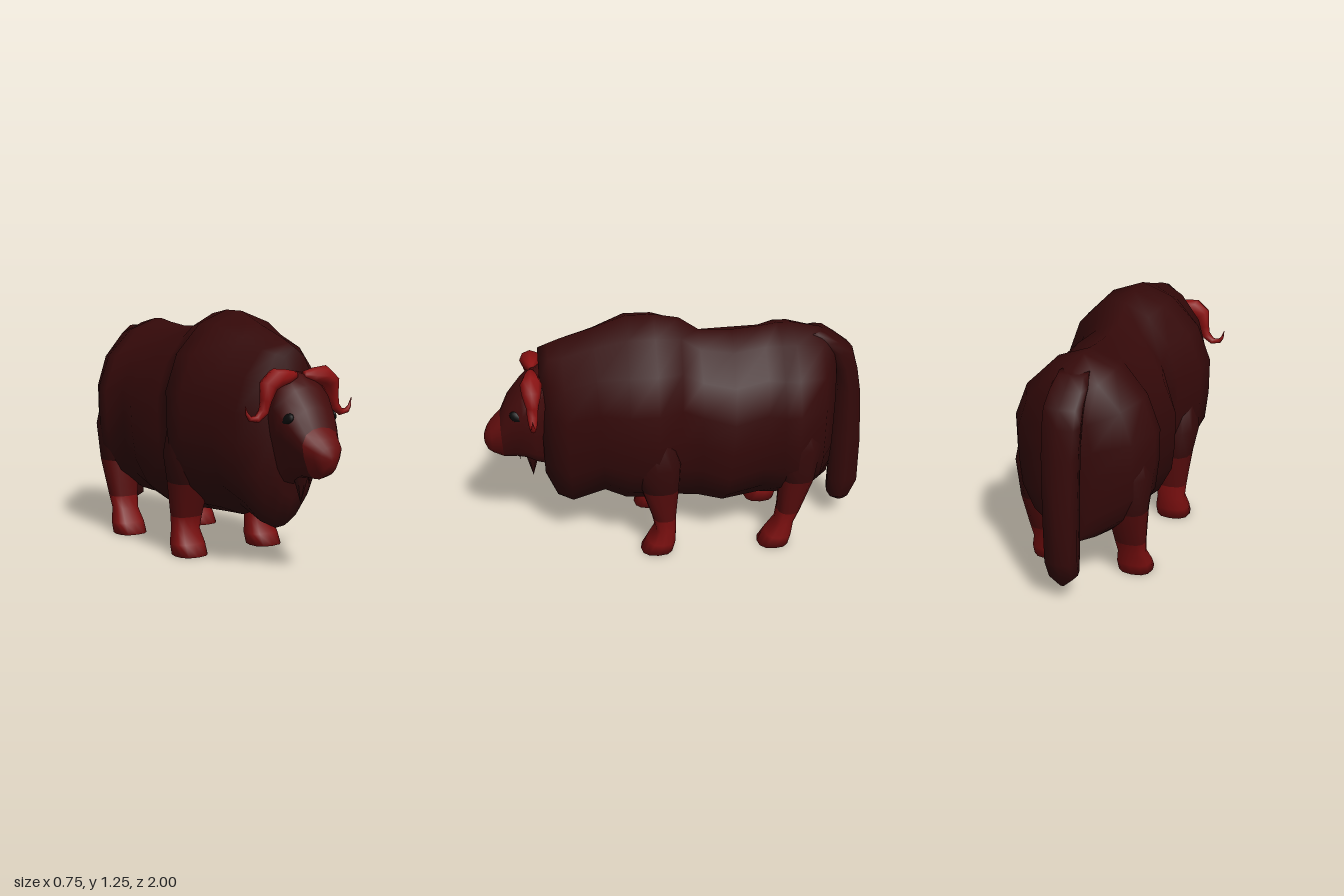
import * as THREE from 'three';

const mat = (color) => new THREE.MeshStandardMaterial({ color });

// Skin a list of equal-length closed rings and close the listed end rings.
function loft(name, rings, material, caps = [0, rings.length - 1]) {
  const n = rings[0].length, pos = [], index = [];
  rings.forEach((r) => r.forEach((p) => pos.push(...p)));
  for (let i = 0; i < rings.length - 1; i++) {
    for (let j = 0; j < n; j++) {
      const a = i * n + j, b = i * n + (j + 1) % n;
      index.push(a, b, a + n, b, b + n, a + n);
    }
  }
  caps.forEach((i) => {
    const centre = pos.length / 3;
    pos.push(...[0, 1, 2].map((k) => rings[i].reduce((s, p) => s + p[k], 0) / n));
    for (let j = 0; j < n; j++) {
      const a = i * n + j, b = i * n + (j + 1) % n;
      if (i === 0) index.push(centre, b, a);
      else index.push(centre, a, b);
    }
  });
  const g = new THREE.BufferGeometry();
  g.setAttribute('position', new THREE.Float32BufferAttribute(pos, 3));
  g.setIndex(index);
  g.computeVertexNormals();
  const mesh = new THREE.Mesh(g, material);
  mesh.name = name;
  return mesh;
}

// Upright ring between a top and a bottom point; half holds [drop, width] fractions.
function uprightRing([topY, topZ, botY, botZ, w], half) {
  const at = ([t, f], s) => [s * f * w, topY + (botY - topY) * t, topZ + (botZ - topZ) * t];
  const right = half.map((h) => at(h, 1));
  const left = half.slice(1, -1).reverse().map((h) => at(h, -1));
  return [...right, ...left];
}

// Level ring from its front, back and side limits; a power below 1 squares it off.
function levelRing([y, zFront, zBack, x0, x1], side, n, power) {
  const bend = (v) => Math.sign(v) * Math.abs(v) ** power;
  return Array.from({ length: n }, (_, j) => {
    const a = (j / n) * Math.PI * 2;
    return [
      side * (x0 + x1) / 2 + bend(Math.sin(a)) * (x1 - x0) / 2,
      y,
      (zFront + zBack) / 2 + bend(Math.cos(a)) * (zFront - zBack) / 2,
    ];
  });
}

// Tapering horn swept along a path of [x, y, radius].
function hornRings(path, side, n = 8) {
  return path.map(([x, y, r], i) => {
    const p = path[Math.max(i - 1, 0)], q = path[Math.min(i + 1, path.length - 1)];
    const t = new THREE.Vector2(side * (q[0] - p[0]), q[1] - p[1]).normalize();
    return Array.from({ length: n }, (_, j) => {
      const a = (j / n) * Math.PI * 2, c = Math.cos(a) * r;
      return [side * x - t.y * c, y + t.x * c, 0.74 + Math.sin(a) * r * 1.1];
    });
  });
}

export function createModel() {
  const model = new THREE.Group();
  model.name = 'muskOx';
  const coat = mat(0x340909), face = mat(0x420b0b), muzzleRed = mat(0x640e0e);
  const legRed = mat(0x7a0f0f), kneeRed = mat(0x560c0c), hornRed = mat(0x8a1111), black = mat(0x080808);

  // Shaggy body, chest to rump: topY, topZ, bottomY, bottomZ, half width
  const bodyHalf = [[0, 0], [0.06, 0.44], [0.2, 0.82], [0.375, 1], [0.55, 0.99],
    [0.7, 0.94], [0.84, 0.74], [0.95, 0.36], [1, 0]];
  const body = [
    [1.10, 0.70, 0.36, 0.69, 0.13],
    [1.12, 0.65, 0.22, 0.63, 0.18],
    [1.145, 0.585, 0.19, 0.55, 0.262],
    [1.195, 0.42, 0.25, 0.38, 0.285],
    [1.255, 0.25, 0.21, 0.27, 0.375],
    [1.255, 0.11, 0.20, 0.12, 0.37],
    [1.23, -0.02, 0.19, 0.0, 0.282],
    [1.16, -0.12, 0.18, -0.12, 0.28],
    [1.15, -0.29, 0.16, -0.24, 0.355],
    [1.165, -0.45, 0.185, -0.44, 0.303],
    [1.178, -0.53, 0.19, -0.53, 0.36],
    [1.176, -0.605, 0.20, -0.605, 0.362],
    [1.145, -0.75, 0.235, -0.745, 0.29],
    [1.08, -0.835, 0.26, -0.82, 0.12],
  ];
  model.add(loft('body', body.map((s) => uprightRing(s, bodyHalf)), coat));

  // Head, nose to poll, with a redder muzzle
  const headHalf = [[0, 0], [0.03, 0.45], [0.12, 0.82], [0.3, 1], [0.55, 0.9], [0.85, 0.62], [0.97, 0.35], [1, 0]];
  const head = [
    [0.615, 1.0, 0.565, 0.997, 0.02],
    [0.655, 0.985, 0.53, 0.98, 0.055],
    [0.69, 0.96, 0.515, 0.955, 0.085],
    [0.74, 0.91, 0.49, 0.90, 0.108],
    [0.83, 0.87, 0.49, 0.83, 0.135],
    [0.92, 0.80, 0.48, 0.78, 0.158],
    [0.98, 0.74, 0.45, 0.73, 0.16],
    [1.0, 0.64, 0.42, 0.64, 0.14],
  ].map((s) => uprightRing(s, headHalf));
  model.add(loft('muzzle', head.slice(0, 4), muzzleRed, [0]), loft('face', head.slice(3), face, [4]));

  // Pointed tufts of the beard
  [[0.755, 0.35, 0.055], [0.82, 0.45, 0.035]].forEach(([z, tipY, r]) => {
    const tuft = new THREE.Mesh(new THREE.ConeGeometry(r, 0.2, 6), coat);
    tuft.name = 'beardTuft';
    tuft.rotation.x = Math.PI;
    tuft.position.set(0, tipY + 0.1, z);
    model.add(tuft);
  });

  // Broad, boxy hanging tail, tip upward: y, front z, back z, half width
  const tail = [
    [0.09, -0.90, -0.935, 0.012], [0.14, -0.842, -0.955, 0.07], [0.24, -0.842, -1.0, 0.075],
    [0.5, -0.842, -1.0, 0.08], [0.79, -0.842, -0.98, 0.088], [0.93, -0.82, -0.955, 0.092],
    [1.02, -0.77, -0.93, 0.092], [1.08, -0.72, -0.85, 0.09], [1.13, -0.68, -0.78, 0.075],
  ].map(([y, f, b, w]) => levelRing([y, f, b, -w, w], 1, 8, 0.45));
  model.add(loft('tail', tail, coat));

  // Legs, hoof upward: y, front z, back z, inner x, outer x
  const frontLeg = [
    [0, 0.207, 0.035, 0.145, 0.322], [0.06, 0.17, 0.02, 0.142, 0.322], [0.13, 0.13, 0.018, 0.155, 0.306],
    [0.2, 0.145, 0.018, 0.148, 0.312], [0.38, 0.205, 0.0, 0.125, 0.334],
    [0.53, 0.26, -0.01, 0.1, 0.362], [0.8, 0.25, 0.06, 0.1, 0.34],
  ];
  const hindLeg = [
    [0, -0.418, -0.585, 0.145, 0.32], [0.06, -0.46, -0.6, 0.142, 0.32], [0.13, -0.51, -0.61, 0.155, 0.302],
    [0.2, -0.52, -0.64, 0.148, 0.308], [0.4, -0.53, -0.71, 0.125, 0.33],
    [0.6, -0.46, -0.74, 0.1, 0.352], [0.85, -0.5, -0.68, 0.1, 0.31],
  ];
  const horn = [
    [0.025, 0.975, 0.018], [0.075, 0.968, 0.036], [0.14, 0.963, 0.051], [0.185, 0.93, 0.045],
    [0.2, 0.86, 0.028], [0.212, 0.81, 0.025], [0.25, 0.777, 0.018],
    [0.29, 0.782, 0.013], [0.307, 0.805, 0.008], [0.317, 0.845, 0.001],
  ];

  [[1, 'left'], [-1, 'right']].forEach(([side, label]) => {
    [['FrontLeg', frontLeg], ['HindLeg', hindLeg]].forEach(([part, rows]) => {
      const rings = rows.map((r) => levelRing(r, side, 12, 0.8));
      const leg = new THREE.Group();
      leg.name = label + part;
      leg.add(
        loft('hoof', rings.slice(0, 4), legRed, [0]),
        loft('knee', rings.slice(3, 5), kneeRed, []),
        loft('thigh', rings.slice(4), coat, [2]),
      );
      model.add(leg);
    });

    model.add(loft(label + 'Horn', hornRings(horn, side), hornRed));

    const eye = new THREE.Mesh(new THREE.SphereGeometry(1, 12, 8), black);
    eye.name = label + 'Eye';
    eye.scale.set(0.014, 0.026, 0.036);
    eye.rotation.set(-0.4, side * -0.35, side * 0.25);
    eye.position.set(side * 0.134, 0.78, 0.825);
    model.add(eye);
  });

  return model;
}
